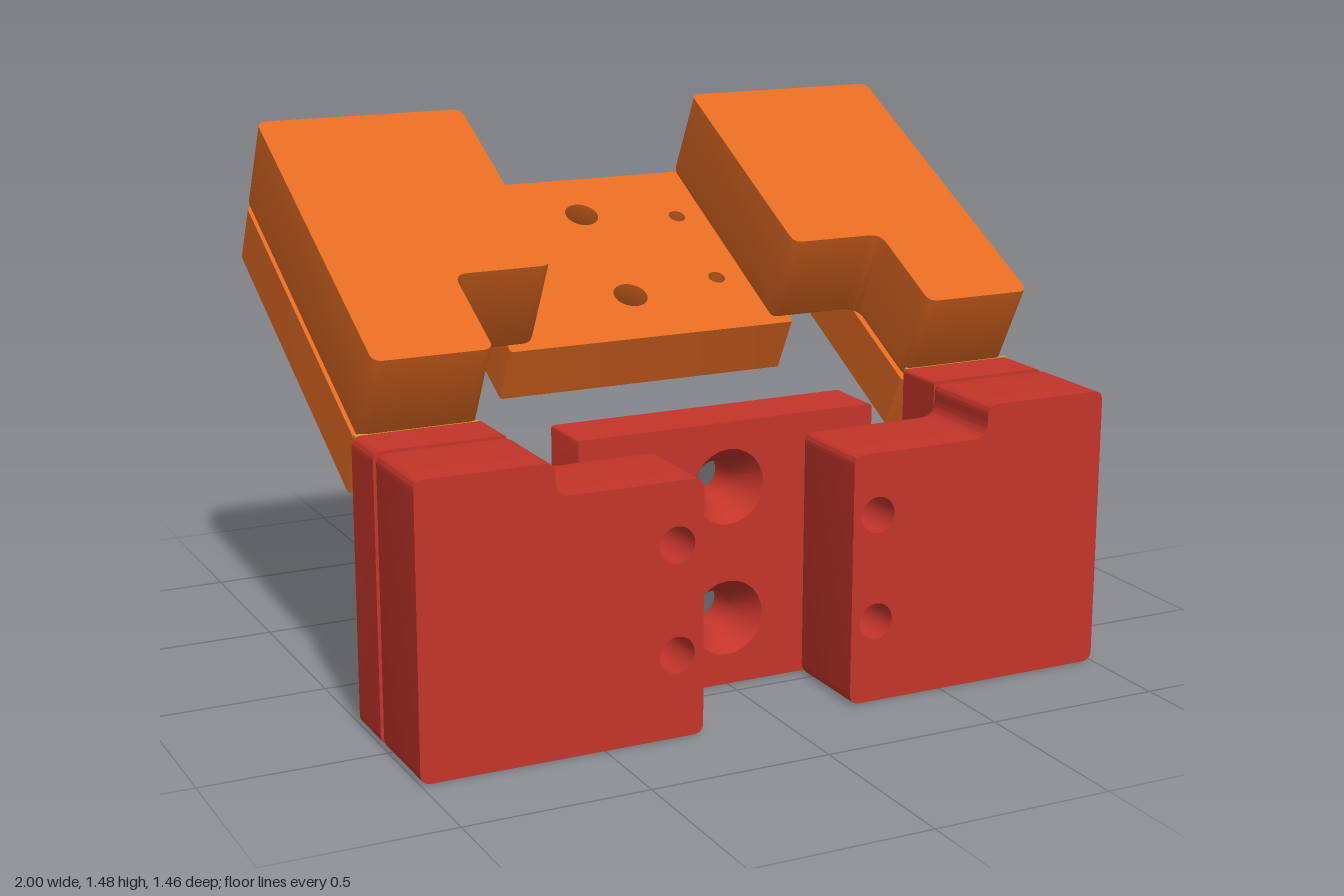
import * as THREE from 'three';
import { mergeGeometries, toCreasedNormals } from 'three/addons/utils/BufferGeometryUtils.js';

const RED = new THREE.MeshStandardMaterial({ color: 0xc4352a });
const ORANGE = new THREE.MeshStandardMaterial({ color: 0xe36b23 });
const YELLOW = new THREE.MeshStandardMaterial({ color: 0xc9a622 });
const SEG = 12;
const CREASE = 0.6;

// Outline from corners [x, y, radius], counter-clockwise, with holes [x, y, radius]
function outline(corners, holes = []) {
  const shape = new THREE.Shape();
  const pts = corners.map(([x, y]) => new THREE.Vector2(x, y));
  const n = pts.length;
  corners.forEach(([x, y, r = 0], i) => {
    const toward = (q) => pts[i].clone().add(q.clone().sub(pts[i]).setLength(r));
    const a = r ? toward(pts[(i + n - 1) % n]) : pts[i];
    if (i) shape.lineTo(a.x, a.y);
    else shape.moveTo(a.x, a.y);
    if (r) {
      const b = toward(pts[(i + 1) % n]);
      shape.quadraticCurveTo(x, y, b.x, b.y);
    }
  });
  shape.closePath();
  for (const [x, y, r] of holes) {
    shape.holes.push(new THREE.Path().absarc(x, y, r, 0, Math.PI * 2, true));
  }
  return shape;
}

const mirrored = (list) => list.map(([x, y, r]) => [-x, y, r]).reverse();

function add(group, name, geometry, material) {
  const mesh = new THREE.Mesh(geometry, material);
  mesh.name = name;
  group.add(mesh);
  return mesh;
}

// Straight slab from z0 to z1
function slab(shape, z0, z1) {
  const g = new THREE.ExtrudeGeometry(shape, { depth: z1 - z0, bevelEnabled: false, curveSegments: SEG });
  return toCreasedNormals(g.translate(0, 0, z0), CREASE);
}

// Slab with a rounded back edge and a sharp front edge
function softBackSlab(shape, z0, z1, b = 0.03) {
  const depth = z1 - z0 - b;
  const g = new THREE.ExtrudeGeometry(shape, {
    depth, curveSegments: SEG, bevelSegments: 5, bevelThickness: b, bevelSize: b, bevelOffset: -b,
  });
  // drop the front bevel and close it with a flat face
  const p = g.attributes.position;
  const kept = [];
  for (let i = 0; i < p.count; i += 3) {
    if (Math.min(p.getZ(i), p.getZ(i + 1), p.getZ(i + 2)) < depth - 1e-5) {
      for (let k = i; k < i + 3; k++) kept.push(p.getX(k), p.getY(k), p.getZ(k));
    }
  }
  const body = new THREE.BufferGeometry();
  body.setAttribute('position', new THREE.Float32BufferAttribute(kept, 3));
  const face = new THREE.ShapeGeometry(shape, SEG).toNonIndexed().translate(0, 0, depth);
  face.deleteAttribute('uv');
  face.deleteAttribute('normal');
  return toCreasedNormals(mergeGeometries([body, face]).translate(0, 0, z0 + b), CREASE);
}

// Countersunk screw hole lining: wide at zWide, narrow at zNarrow
const WIDE = 0.105;
function countersink(x, y, zWide, zNarrow) {
  const len = Math.abs(zWide - zNarrow);
  const profile = [[WIDE, len], [0.05, len - 0.09], [0.05, 0], [WIDE, 0]]
    .map(([r, h]) => new THREE.Vector2(r, h));
  const g = new THREE.LatheGeometry(profile, SEG * 2);
  g.rotateX(zWide > zNarrow ? Math.PI / 2 : -Math.PI / 2);
  return toCreasedNormals(g.translate(x, y, zNarrow), CREASE);
}

function lowerHalf() {
  const group = new THREE.Group();
  group.name = 'lowerHalf';
  const big = [0.19, 0.56];
  const small = [0.225, 0.52];
  const plateHoles = [
    ...big.map((y) => [0, y, WIDE]),
    ...small.flatMap((y) => [[0.295, y, 0.025], [-0.295, y, 0.025]]),
  ];

  // back plate with two slots open at the top
  const side = [
    [1, 0, 0.03], [1, 0.78, 0.03], [0.64, 0.78, 0.01],
    [0.64, 0.2, 0.04], [0.44, 0.2, 0.04], [0.44, 0.74, 0.01],
  ];
  add(group, 'lowerPlate', slab(outline([...side, ...mirrored(side)], plateHoles), 0.285, 0.445), RED);
  const pad = [[0.44, 0], [0.44, 0.74, 0.01]];
  add(group, 'centrePad', slab(outline([...pad, ...mirrored(pad)], plateHoles), 0.27, 0.285), RED);
  for (const y of big) add(group, 'screwHole', countersink(0, y, 0.445, 0.27), RED);

  // front blocks and rear contact strips
  const block = [
    [0.22, 0, 0.03], [1, 0, 0.03], [1, 0.78, 0.03],
    [0.63, 0.78, 0.03], [0.63, 0.69, 0.045], [0.22, 0.69, 0.03],
  ];
  const blockHoles = small.map((y) => [0.295, y, 0.05]);
  const strip = [[0.65, 0], [0.99, 0], [0.99, 0.78], [0.65, 0.78]];
  for (const [label, flip] of [['left', (l) => l], ['right', mirrored]]) {
    add(group, label + 'LowerBlock', softBackSlab(outline(flip(block), flip(blockHoles)), 0.445, 0.73), RED);
    add(group, label + 'ContactStrip', slab(outline(flip(strip)), 0.27, 0.285), YELLOW);
  }
  return group;
}

// Built lying along local y from its hinge edge, outer face toward local z
function upperHalf() {
  const group = new THREE.Group();
  group.name = 'upperHalf';
  const big = [0.48, 0.86];
  const plateHoles = [
    ...big.map((y) => [0, y, WIDE]),
    ...[0.52, 0.815].flatMap((y) => [[0.295, y, 0.025], [-0.295, y, 0.025]]),
  ];

  // plate with two slots open at the hinge edge
  const side = [
    [0.44, 0.294, 0.01], [0.44, 0.81, 0.04], [0.65, 0.81, 0.04],
    [0.65, 0, 0.01], [0.975, 0, 0.03], [0.975, 1.03, 0.03],
  ];
  add(group, 'upperPlate', slab(outline([...side, ...mirrored(side)], plateHoles), -0.17, 0), ORANGE);
  for (const y of big) add(group, 'screwHole', countersink(0, y, -0.17, 0), ORANGE);

  // notched outer blocks
  const block = [
    [0.37, 0.305, 0.03], [0.65, 0.305, 0.04], [0.65, 0, 0.03],
    [0.975, 0, 0.03], [0.975, 1.03, 0.03], [0.37, 1.03, 0.03],
  ];
  add(group, 'leftUpperBlock', softBackSlab(outline(block), 0, 0.287), ORANGE);
  add(group, 'rightUpperBlock', softBackSlab(outline(mirrored(block)), 0, 0.287), ORANGE);

  // swing the half open
  group.rotation.x = THREE.MathUtils.degToRad(-62);
  group.position.set(0, 0.743, 0.26);
  return group;
}

export function createModel() {
  const model = new THREE.Group();
  model.name = 'hingedClamp';
  model.add(lowerHalf(), upperHalf());
  return model;
}
